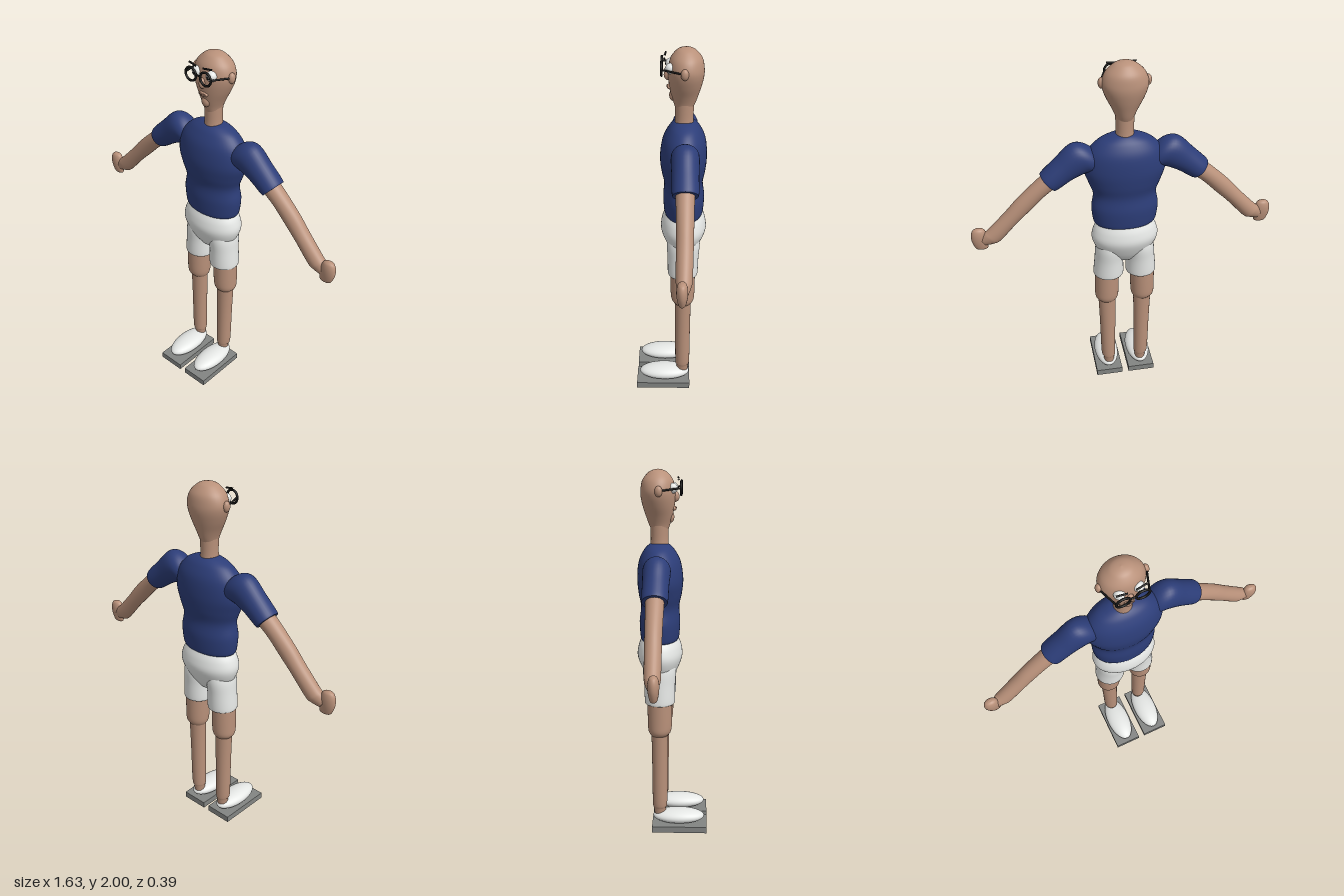
import * as THREE from 'three';

const material = (name, color) => {
  const m = new THREE.MeshStandardMaterial({ color });
  m.name = name;
  return m;
};

// Smooth interpolation between four section values
const spline = (a, b, c, d, t) =>
  0.5 * (2 * b + (c - a) * t + (2 * a - 5 * b + 4 * c - d) * t * t + (3 * b - a - 3 * c + d) * t * t * t);

// Closed loft through elliptical sections [x, y, z, radiusX, radiusZ, tilt in degrees]
function loft(sections, sides = 32, steps = 5) {
  const rings = [];
  const last = sections.length - 1;
  const at = (i) => sections[Math.max(0, Math.min(last, i))];
  for (let i = 0; i < last; i++) {
    for (let k = 0; k < steps; k++) {
      rings.push([0, 1, 2, 3, 4, 5].map((c) =>
        spline(...[-1, 0, 1, 2].map((o) => at(i + o)[c] || 0), k / steps)));
    }
  }
  rings.push([0, 1, 2, 3, 4, 5].map((c) => at(last)[c] || 0));

  const pos = [], idx = [];
  const addRing = ([x, y, z, rx, rz, tilt]) => {
    const r = THREE.MathUtils.degToRad(tilt);
    for (let j = 0; j < sides; j++) {
      const a = (j / sides) * Math.PI * 2;
      const u = rx * Math.cos(a);
      pos.push(x + u * Math.cos(r), y + u * Math.sin(r), z + rz * Math.sin(a));
    }
  };
  rings.forEach(addRing);
  for (let i = 0; i < rings.length - 1; i++) {
    for (let j = 0; j < sides; j++) {
      const a = i * sides + j, b = i * sides + ((j + 1) % sides);
      idx.push(a, a + sides, b, b, a + sides, b + sides);
    }
  }
  // End caps have their own corners, so hems stay crisp
  [rings[0], rings[rings.length - 1]].forEach((ring, end) => {
    const base = pos.length / 3;
    addRing(ring);
    pos.push(ring[0], ring[1], ring[2]);
    for (let j = 0; j < sides; j++) {
      const a = base + j, b = base + ((j + 1) % sides), c = base + sides;
      if (end) idx.push(a, c, b);
      else idx.push(a, b, c);
    }
  });
  const g = new THREE.BufferGeometry();
  g.setAttribute('position', new THREE.Float32BufferAttribute(pos, 3));
  g.setIndex(idx);
  g.computeVertexNormals();
  return g;
}

export function createModel() {
  const model = new THREE.Group();
  model.name = 'standingMan';
  const skin = material('skin', 0xb9917a);
  const blue = material('shirtBlue', 0x2c3d78);
  const white = material('clothWhite', 0xe6e8e6);
  const grey = material('soleGrey', 0x838583);
  const black = material('frameBlack', 0x151515);
  const lip = material('lip', 0x96705e);

  const add = (name, geometry, mat, x = 0, y = 0, z = 0) => {
    const mesh = new THREE.Mesh(geometry, mat);
    mesh.name = name;
    mesh.position.set(x, y, z);
    model.add(mesh);
    return mesh;
  };
  const ball = (name, mat, x, y, z, rx, ry, rz) =>
    add(name, new THREE.SphereGeometry(1, 28, 18).scale(rx, ry, rz), mat, x, y, z);
  const rod = (name, from, to, radius) =>
    add(name, new THREE.TubeGeometry(
      new THREE.LineCurve3(new THREE.Vector3(...from), new THREE.Vector3(...to)), 1, radius, 8), black);
  // Mirrors sections to either side of the body
  const side = (s, list) => list.map(([x, y, z, rx, rz, tilt = 0]) => [s * x, y, z, rx, rz, s * tilt]);

  // Torso, hips, neck and head
  add('shirt', loft([
    [0, 1.1, -0.07, 0.16, 0.1], [0, 1.12, -0.07, 0.17, 0.106], [0, 1.2, -0.07, 0.178, 0.11],
    [0, 1.28, -0.068, 0.167, 0.103], [0, 1.35, -0.067, 0.19, 0.116], [0, 1.43, -0.067, 0.213, 0.123],
    [0, 1.52, -0.07, 0.195, 0.112], [0, 1.58, -0.072, 0.145, 0.083], [0, 1.61, -0.072, 0.085, 0.055],
    [0, 1.622, -0.072, 0.035, 0.03]], 48), blue);
  add('shortsHips', loft([
    [0, 0.86, -0.068, 0.09, 0.05], [0, 0.92, -0.068, 0.145, 0.09], [0, 1.0, -0.07, 0.18, 0.122],
    [0, 1.06, -0.07, 0.17, 0.117], [0, 1.105, -0.07, 0.145, 0.1]], 48), white);
  add('neck', loft([
    [0, 1.58, -0.07, 0.052, 0.052], [0, 1.64, -0.07, 0.046, 0.047], [0, 1.76, -0.07, 0.05, 0.05]]), skin);
  add('head', loft([
    [0, 1.69, -0.068, 0.042, 0.045], [0, 1.72, -0.07, 0.05, 0.057], [0, 1.76, -0.071, 0.067, 0.07],
    [0, 1.81, -0.074, 0.092, 0.083], [0, 1.86, -0.077, 0.111, 0.091], [0, 1.9, -0.078, 0.115, 0.09],
    [0, 1.945, -0.078, 0.098, 0.08], [0, 1.98, -0.077, 0.062, 0.053], [0, 1.994, -0.077, 0.034, 0.03],
    [0, 2.0, -0.077, 0.002, 0.002]], 40), skin);

  // Face
  ball('nose', skin, 0, 1.86, 0.012, 0.016, 0.028, 0.023);
  ball('chin', skin, 0, 1.755, -0.012, 0.025, 0.03, 0.02);
  ball('mouth', skin, 0, 1.8, 0.006, 0.028, 0.013, 0.014);
  ball('mouthLine', lip, 0, 1.803, 0.018, 0.024, 0.004, 0.004);
  rod('glassesBridge', [-0.016, 1.91, 0.045], [0.016, 1.91, 0.045], 0.005);

  for (const s of [1, -1]) {
    ball('ear', skin, s * 0.115, 1.893, -0.07, 0.017, 0.028, 0.02);
    ball('eye', white, s * 0.047, 1.905, 0.0, 0.027, 0.027, 0.027);
    ball('pupil', black, s * 0.045, 1.903, 0.024, 0.009, 0.009, 0.005);
    add('glassesRim', new THREE.TorusGeometry(0.034, 0.006, 10, 32), black, s * 0.048, 1.905, 0.045);
    rod('glassesTemple', [s * 0.08, 1.908, 0.045], [s * 0.116, 1.896, -0.06], 0.005);
    rod('eyebrow', [s * 0.02, 1.948, 0.032], [s * 0.075, 1.954, 0.026], 0.005);

    // Sleeve, arm and hand
    add('sleeve', loft(side(s, [
      [0.12, 1.46, -0.075, 0.05, 0.05, -100], [0.18, 1.495, -0.075, 0.08, 0.068, -106],
      [0.235, 1.5, -0.075, 0.089, 0.072, -118], [0.31, 1.45, -0.076, 0.073, 0.068, -130],
      [0.38, 1.395, -0.077, 0.064, 0.067, -132], [0.397, 1.381, -0.077, 0.06, 0.064, -132]])), blue);
    add('arm', loft(side(s, [
      [0.37, 1.4, -0.076, 0.05, 0.048, -135], [0.45, 1.335, -0.076, 0.046, 0.045, -138],
      [0.53, 1.258, -0.076, 0.047, 0.043, -138], [0.6, 1.185, -0.075, 0.043, 0.042, -137],
      [0.69, 1.09, -0.073, 0.045, 0.04, -134], [0.72, 1.07, -0.072, 0.041, 0.035, -130],
      [0.755, 1.05, -0.068, 0.028, 0.024, -125]])), skin);
    add('hand', loft(side(s, [
      [0.765, 1.0, -0.064, 0.016, 0.008], [0.766, 1.008, -0.064, 0.033, 0.018],
      [0.773, 1.05, -0.064, 0.042, 0.026], [0.775, 1.09, -0.064, 0.041, 0.027],
      [0.775, 1.118, -0.064, 0.03, 0.02], [0.775, 1.128, -0.064, 0.01, 0.007]])), skin);

    // Shorts leg, bare leg and shoe
    add('shortsLeg', loft(side(s, [
      [0.091, 0.755, -0.068, 0.08, 0.079], [0.091, 0.77, -0.068, 0.084, 0.083],
      [0.088, 0.86, -0.069, 0.079, 0.085], [0.083, 0.94, -0.07, 0.077, 0.09],
      [0.08, 1.01, -0.07, 0.06, 0.08]])), white);
    add('thigh', loft(side(s, [
      [0.101, 0.57, -0.07, 0.05, 0.047], [0.103, 0.595, -0.069, 0.064, 0.062],
      [0.102, 0.65, -0.068, 0.067, 0.067], [0.1, 0.8, -0.068, 0.068, 0.068]])), skin);
    add('shin', loft(side(s, [
      [0.095, 0.08, -0.07, 0.028, 0.03], [0.095, 0.125, -0.07, 0.034, 0.036],
      [0.098, 0.16, -0.07, 0.041, 0.041], [0.1, 0.4, -0.07, 0.045, 0.043],
      [0.102, 0.62, -0.07, 0.051, 0.046]])), skin);
    ball('shoe', white, s * 0.097, 0.073, 0.036, 0.07, 0.041, 0.146);
    add('sole', new THREE.BoxGeometry(0.155, 0.036, 0.31), grey, s * 0.097, 0.018, 0.042);
  }
  return model;
}
